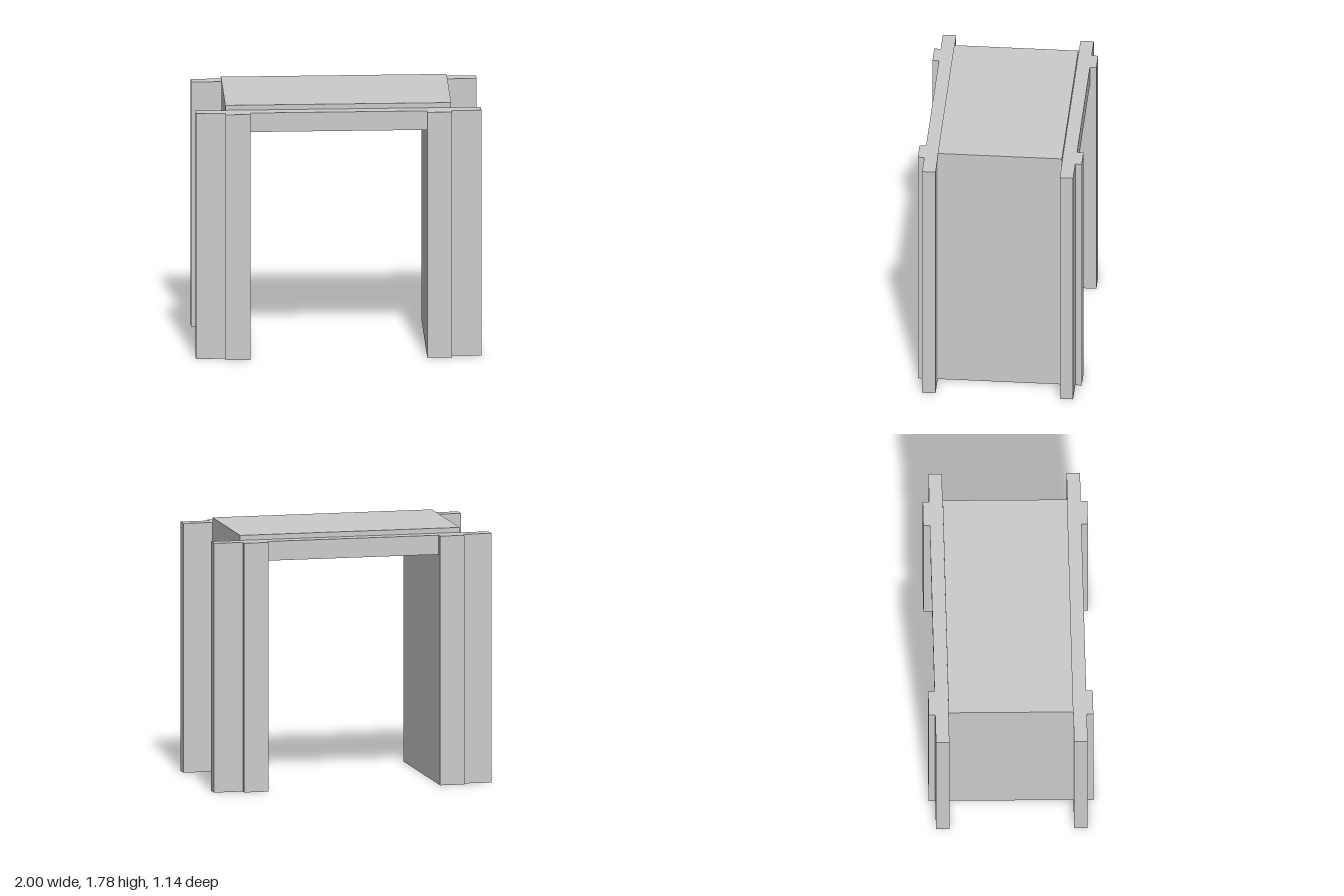
import * as THREE from 'three';

const INNER = 0.613;      // half width of the opening
const OPENING_TOP = 1.61;
const PORTAL_TOP = 1.745;
const SKEW = -0.019;      // slight sideways drift along the depth

const material = new THREE.MeshStandardMaterial({ color: 0xcccccc, flatShading: true });
const skew = new THREE.Matrix4().set(1, 0, SKEW, 0, 0, 1, 0, 0, 0, 0, 1, 0, 0, 0, 0, 1);

function addPart(group, name, geometry) {
  geometry.applyMatrix4(skew);
  const mesh = new THREE.Mesh(geometry, material);
  mesh.name = name;
  group.add(mesh);
}

// Upside-down U outline extruded from z0 to z1
function gate(halfWidth, top, z0, z1) {
  const shape = new THREE.Shape([
    [-halfWidth, 0], [-INNER, 0], [-INNER, OPENING_TOP], [INNER, OPENING_TOP],
    [INNER, 0], [halfWidth, 0], [halfWidth, top], [-halfWidth, top],
  ].map(([x, y]) => new THREE.Vector2(x, y)));
  return new THREE.ExtrudeGeometry(shape, { depth: z1 - z0, bevelEnabled: false }).translate(0, 0, z0);
}

export function createModel() {
  const group = new THREE.Group();
  group.name = 'gateway';

  // Passage: two walls and a roof slab
  addPart(group, 'passage', gate(0.783, 1.78, -0.432, 0.432));

  for (const [end, s] of [['front', 1], ['back', -1]]) {
    // Wide end frame with lintel
    const z = [s * 0.432, s * 0.525].sort((a, b) => a - b);
    addPart(group, end + 'Frame', gate(0.99, PORTAL_TOP, z[0], z[1]));

    // Raised pilasters beside the opening
    for (const [side, sx] of [['Left', 1], ['Right', -1]]) {
      const box = new THREE.BoxGeometry(0.785 - INNER, PORTAL_TOP, 0.045);
      box.translate(sx * (0.785 + INNER) / 2, PORTAL_TOP / 2, s * 0.5475);
      addPart(group, end + side + 'Pilaster', box);
    }
  }
  return group;
}
